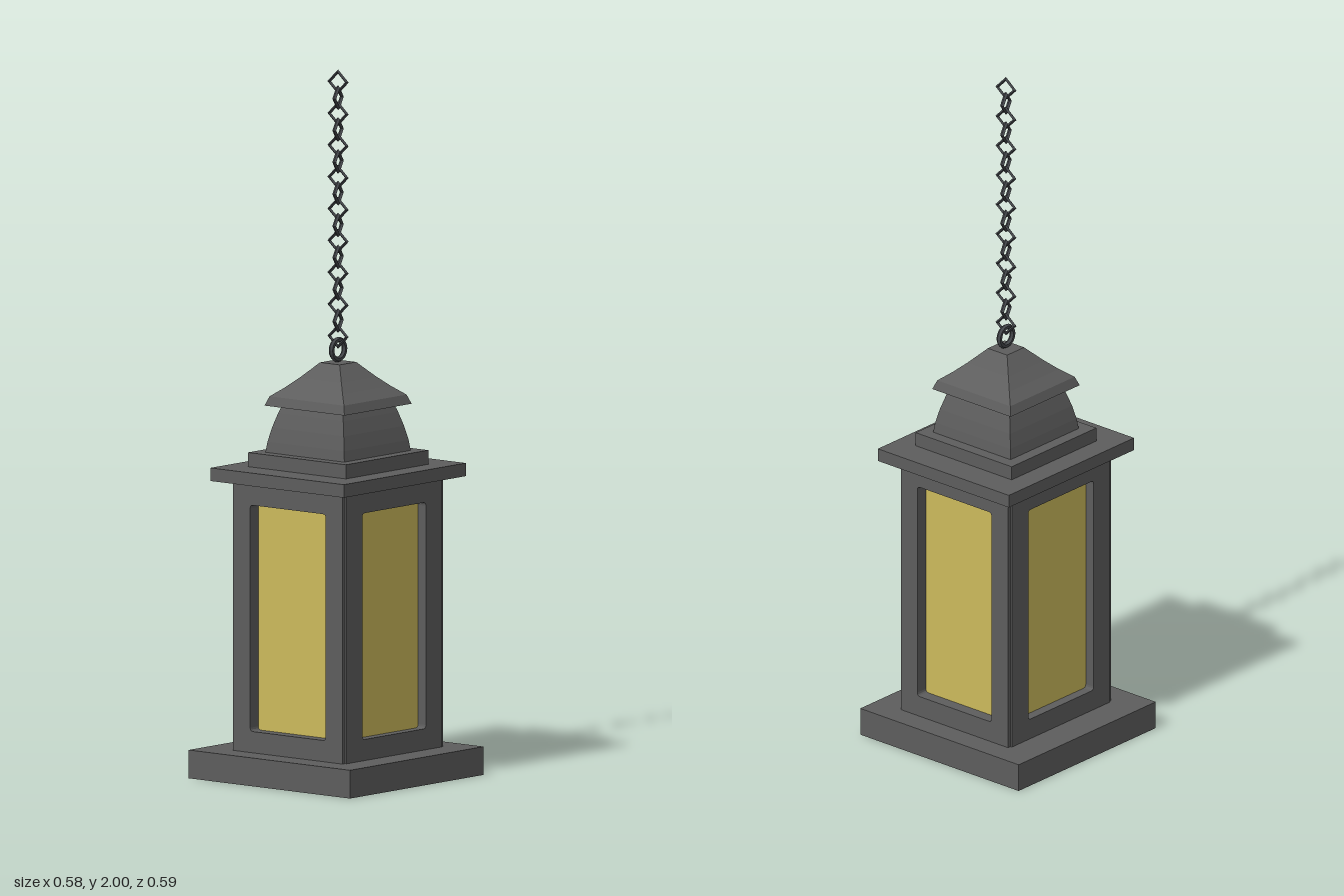
import * as THREE from 'three';

export function createModel() {
  const lantern = new THREE.Group();
  lantern.name = 'lantern';

  const mat = (name, color) => {
    const m = new THREE.MeshStandardMaterial({ color, flatShading: true });
    m.name = name;
    return m;
  };
  const iron = mat('grey iron', 0x5d5d5d);
  const chainIron = mat('dark chain iron', 0x44474b);
  const amber = mat('amber glass', 0xccba5c);

  const add = (parent, name, geometry, material) => {
    const mesh = new THREE.Mesh(geometry, material);
    mesh.name = name;
    parent.add(mesh);
    return mesh;
  };
  const slab = (parent, name, w, d, y0, y1, material = iron) => {
    const mesh = add(parent, name, new THREE.BoxGeometry(w, y1 - y0, d), material);
    mesh.position.y = (y0 + y1) / 2;
    return mesh;
  };
  // Square tower from [half width, height] pairs, bottom to top
  const squareLathe = (profile) => new THREE.LatheGeometry(
    profile.map(([h, y]) => new THREE.Vector2(h * Math.SQRT2, y)), 4, Math.PI / 4);

  slab(lantern, 'base', 0.58, 0.59, 0, 0.08);

  // Everything above the base sits very slightly off centre
  const upper = new THREE.Group();
  upper.name = 'upperBody';
  upper.position.set(0.003, 0, 0.005);
  lantern.add(upper);

  // Window frame: a plate with a softly rounded opening
  const frameGeometry = (halfWidth, thickness) => {
    const y0 = 0.08, y1 = 0.845, r = 0.01;
    const plate = new THREE.Shape([
      new THREE.Vector2(-halfWidth, y0), new THREE.Vector2(halfWidth, y0),
      new THREE.Vector2(halfWidth, y1), new THREE.Vector2(-halfWidth, y1),
    ]);
    const l = -0.138, rt = 0.138, b = 0.14, t = 0.78;
    const hole = new THREE.Path();
    hole.moveTo(l + r, b);
    hole.lineTo(rt - r, b);
    hole.quadraticCurveTo(rt, b, rt, b + r);
    hole.lineTo(rt, t - r);
    hole.quadraticCurveTo(rt, t, rt - r, t);
    hole.lineTo(l + r, t);
    hole.quadraticCurveTo(l, t, l, t - r);
    hole.lineTo(l, b + r);
    hole.quadraticCurveTo(l, b, l + r, b);
    plate.holes.push(hole);
    return new THREE.ExtrudeGeometry(plate, { depth: thickness, bevelEnabled: false, curveSegments: 3 });
  };
  ['frontFrame', 'leftFrame', 'backFrame', 'rightFrame'].forEach((name, i) => {
    const side = i % 2 === 1;
    const thickness = side ? 0.04 : 0.03;
    const outer = side ? 0.218 : 0.205;
    const frame = add(upper, name, frameGeometry(side ? 0.2 : 0.207, thickness), iron);
    frame.rotation.y = i * Math.PI / 2;
    frame.position.set(0, 0, outer - thickness).applyAxisAngle(new THREE.Vector3(0, 1, 0), i * Math.PI / 2);
  });
  slab(upper, 'glass', 0.364, 0.352, 0.12, 0.8, amber);

  // Stepped cap
  slab(upper, 'eaves', 0.53, 0.488, 0.843, 0.88);
  slab(upper, 'capStep', 0.358, 0.358, 0.88, 0.92);
  add(upper, 'neck', squareLathe([
    [0, 0.91], [0.145, 0.915], [0.14, 0.95], [0.131, 0.99], [0.119, 1.03], [0.11, 1.055],
  ]), iron);
  add(upper, 'roof', squareLathe([
    [0, 1.052], [0.146, 1.052], [0.136, 1.078], [0.105, 1.103], [0.076, 1.13],
    [0.052, 1.155], [0.036, 1.172], [0, 1.172],
  ]), iron);

  // Hanging ring
  const ring = add(upper, 'hangingRing', new THREE.TorusGeometry(0.028, 0.008, 6, 20), chainIron);
  ring.position.y = 1.208;

  // Chain of diamond links, each turned a quarter from the last
  const chain = new THREE.Group();
  chain.name = 'chain';
  chain.rotation.y = 0.23;
  upper.add(chain);
  const linkGeometry = new THREE.TorusGeometry(0.029, 0.006, 4, 4);
  for (let i = 0; i < 17; i++) {
    const link = add(chain, 'chainLink', linkGeometry, chainIron);
    link.position.y = 1.245 + i * 0.045;
    const facesSide = i % 2 === 0;
    link.rotation.y = facesSide ? Math.PI / 2 : 0;
    link.scale.x = facesSide ? 0.95 : 0.8;
  }

  return lantern;
}
